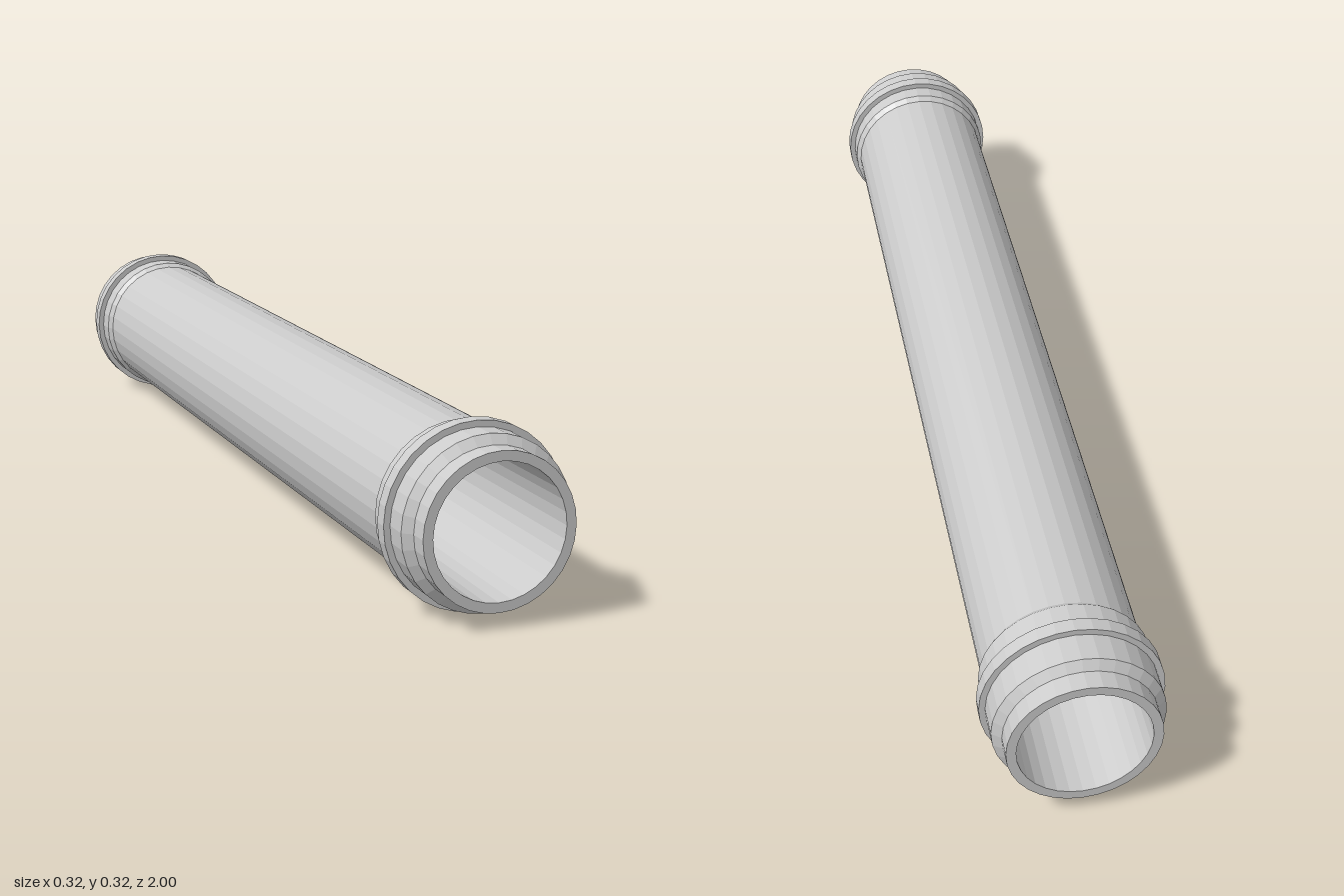
import * as THREE from 'three';

const SIDES = 32;
const AXIS_Y = 0.159;

// Revolves [radius, z] points around the pipe's long axis.
// Outer surfaces run from back to front, inner ones from front to back.
function revolve(name, profile, material) {
  const points = profile.map(([r, z]) => new THREE.Vector2(r, z));
  const geometry = new THREE.LatheGeometry(points, SIDES);
  geometry.rotateX(Math.PI / 2);
  const mesh = new THREE.Mesh(geometry, material);
  mesh.name = name;
  mesh.position.y = AXIS_Y;
  return mesh;
}

export function createModel() {
  const material = new THREE.MeshStandardMaterial({ color: 0xcccccc, flatShading: true });
  const group = new THREE.Group();
  group.name = 'pipe';

  // Hollow tube with narrower spigot ends, slightly tapered bore and a step near the back
  group.add(revolve('tube', [
    [0.114, -1], [0.131, -1], [0.131, -0.9], [0.139, -0.88],
    [0.139, 0.88], [0.131, 0.9], [0.131, 1], [0.114, 1],
    [0.108, -0.8], [0.114, -0.8], [0.114, -1],
  ], material));

  // Chamfered collars, each with a raised flange ring
  const ends = [
    { name: 'front', side: 1, inner: 0.833, ring: 0.895 },
    { name: 'back', side: -1, inner: 0.815, ring: 0.885 },
  ];
  for (const { name, side, inner, ring } of ends) {
    const place = (profile) => {
      const placed = profile.map(([r, z]) => [r, z * side]);
      return side > 0 ? placed : placed.reverse();
    };
    group.add(revolve(name + 'Collar', place([
      [0.138, inner], [0.147, inner + 0.013], [0.147, 0.952], [0.13, 0.965],
    ]), material));
    group.add(revolve(name + 'Flange', place([
      [0.145, ring - 0.013], [0.158, ring - 0.013],
      [0.158, ring + 0.013], [0.145, ring + 0.013],
    ]), material));
  }
  return group;
}
